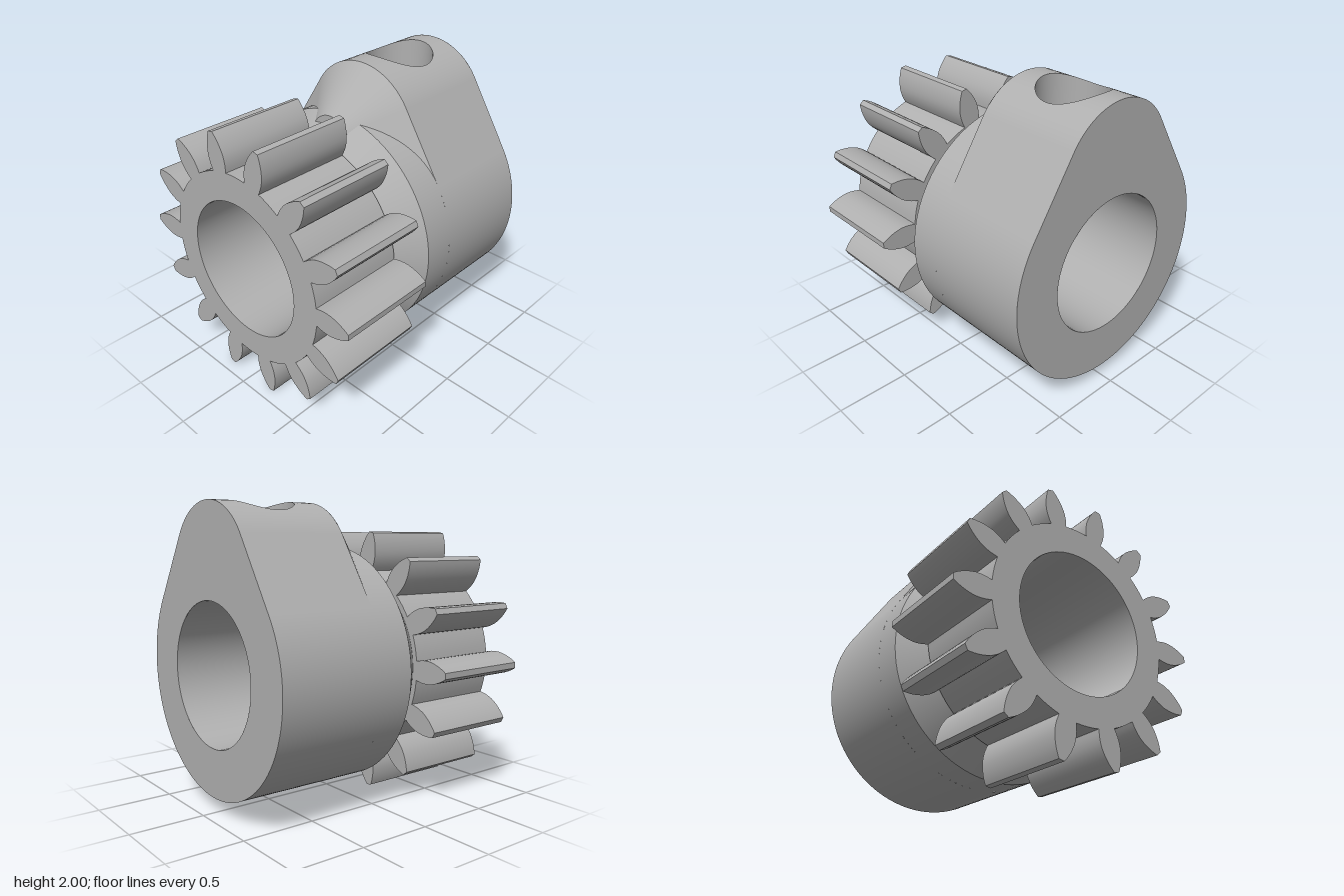
import * as THREE from 'three';
import { toCreasedNormals } from 'three/addons/utils/BufferGeometryUtils.js';
import { ParametricGeometry } from 'three/addons/geometries/ParametricGeometry.js';

const CY = 0.905, R = 0.805, BORE = 0.475;      // shaft axis, collar and bore radii
const LY = 1.54, LR = 0.46;                     // lobe centre and radius
const ALPHA = Math.asin((R - LR) / (LY - CY));  // where the lobe's flats are tangent
const BACK = -0.92, SHOULDER = -0.17, NOSE = 0.12, HOLE_Z = -0.55, PATCH = 0.35;

export function createModel() {
  const group = new THREE.Group();
  const steel = new THREE.MeshStandardMaterial({ color: 0xb0b0b0, side: THREE.DoubleSide });
  steel.name = 'steel grey';
  const add = (name, geometry) => {
    const mesh = new THREE.Mesh(geometry, steel);
    mesh.name = name;
    group.add(mesh);
  };
  const surface = (name, f, nu, nv) =>
    add(name, new ParametricGeometry((u, v, t) => t.set(...f(u, v)), nu, nv));
  const lerp = THREE.MathUtils.lerp;

  const lobePoint = (a, off = 0) => [(LR - off) * Math.cos(a), LY + (LR - off) * Math.sin(a)];
  const basePoint = (a, off = 0) => [(R - off) * Math.cos(a), CY + (R - off) * Math.sin(a)];

  // Teardrop plate with the bore cut out
  const teardrop = (off) => {
    const s = new THREE.Shape();
    s.absarc(0, LY, LR - off, ALPHA, Math.PI - ALPHA, false);
    s.absarc(0, CY, R - off, Math.PI - ALPHA, Math.PI * 2 + ALPHA, false);
    s.holes.push(new THREE.Path().absarc(0, CY, BORE, 0, Math.PI * 2, true));
    return new THREE.ShapeGeometry(s, 64);
  };
  add('backFace', teardrop(0).rotateY(Math.PI).translate(0, 0, BACK));
  add('lobeNoseFace', teardrop(NOSE - SHOULDER).translate(0, 0, NOSE));

  // Arc wall from angle a0 to a1, tapering by `taper` between z0 and z1
  const arcWall = (name, point, a0, a1, z0, z1, taper, n) =>
    surface(name, (u, v) => [...point(lerp(a0, a1, u), taper * v), lerp(z0, z1, v)], n, 1);

  // Straight body and 45 degree tapered shoulder
  arcWall('bodyWall', basePoint, Math.PI - ALPHA, Math.PI * 2 + ALPHA, BACK, SHOULDER, 0, 96);
  const patchAngle = Math.acos(PATCH / LR);
  arcWall('lobeEdge', lobePoint, ALPHA, patchAngle, BACK, SHOULDER, 0, 6);
  arcWall('lobeEdge', lobePoint, Math.PI - patchAngle, Math.PI - ALPHA, BACK, SHOULDER, 0, 6);
  arcWall('lobeShoulder', lobePoint, ALPHA, Math.PI - ALPHA, SHOULDER, NOSE, NOSE - SHOULDER, 48);
  for (const [a, flip] of [[ALPHA, 0], [Math.PI - ALPHA, 1]]) {
    const flat = (z0, z1, taper) => (u, v) => {
      const p = basePoint(a, taper * v), q = lobePoint(a, taper * v), t = flip ? 1 - u : u;
      return [lerp(p[0], q[0], t), lerp(p[1], q[1], t), lerp(z0, z1, v)];
    };
    surface('bodyFlat', flat(BACK, SHOULDER, 0), 1, 1);
    surface('shoulderFlat', flat(SHOULDER, NOSE, NOSE - SHOULDER), 1, 1);
  }

  // Collar and chamfer behind the gear
  const turned = (name, r0, z0, r1, z1) =>
    add(name, new THREE.LatheGeometry([new THREE.Vector2(r0, z0), new THREE.Vector2(r1, z1)], 96)
      .rotateX(Math.PI / 2).translate(0, CY, 0));
  turned('collar', R, SHOULDER, R, 0.05);
  turned('collarChamfer', R, 0.05, 0.63, 0.235);
  turned('collarBore', BORE, 0.235, BORE, SHOULDER);

  // Rear bore, leaving a window at the top for the screw hole
  const boreAngle = Math.acos(PATCH / BORE);
  surface('rearBore', (u, v) => {
    const a = lerp(Math.PI * 2 + boreAngle, Math.PI - boreAngle, u);
    return [BORE * Math.cos(a), CY + BORE * Math.sin(a), lerp(BACK, SHOULDER, v)];
  }, 96, 1);

  // Curved patches that run from the round screw hole to a rectangular border
  const lobeTop = (x) => LY + Math.sqrt(LR * LR - x * x);
  const boreTop = (x) => CY + Math.sqrt(BORE * BORE - x * x);
  const holePatch = (name, top, radius, dir) => surface(name, (u, v) => {
    const a = u * Math.PI * 2 * dir, c = Math.cos(a), s = Math.sin(a);
    const m = Math.max(Math.abs(c), Math.abs(s));
    const x = lerp(radius * c, PATCH * c / m, v);
    const edge = s < 0 ? HOLE_Z - BACK : SHOULDER - HOLE_Z;
    return [x, top(x), HOLE_Z + lerp(radius * s, edge * s / m, v)];
  }, 64, 10);
  holePatch('lobeTop', lobeTop, 0.23, -1);
  holePatch('boreTop', boreTop, 0.2, 1);

  // Stepped screw hole
  const holeWall = (name, r0, y0, r1, y1) => surface(name, (u, v) => {
    const a = u * Math.PI * 2, r = lerp(r0, r1, v), x = r * Math.cos(a);
    return [x, lerp(y0(x), y1(x), v), HOLE_Z + r * Math.sin(a)];
  }, 64, 1);
  holeWall('screwHole', 0.23, lobeTop, 0.23, () => 1.52);
  holeWall('screwHoleStep', 0.23, () => 1.52, 0.2, () => 1.49);
  holeWall('screwHoleThroat', 0.2, () => 1.49, 0.2, boreTop);

  // Fourteen tooth gear: half tooth profile as [distance out, half width]
  const TEETH = 14;
  const half = new THREE.SplineCurve([[0.668, 0.064], [0.72, 0.075], [0.78, 0.076], [0.84, 0.062],
    [0.89, 0.041], [0.925, 0.02]].map((p) => new THREE.Vector2(...p))).getPoints(10);
  const tooth = [...half.map((p) => [p.x, -p.y]), ...half.slice().reverse().map((p) => [p.x, p.y])];
  const outline = [];
  for (let i = 0; i < TEETH; i++) {
    const a = (i / TEETH) * Math.PI * 2, c = Math.cos(a), s = Math.sin(a);
    for (const [r, w] of tooth) outline.push(new THREE.Vector2(r * c - w * s, r * s + w * c));
    for (const k of [0.35, 0.5, 0.65]) {
      const b = ((i + k) / TEETH) * Math.PI * 2;
      outline.push(new THREE.Vector2(0.671 * Math.cos(b), 0.671 * Math.sin(b)));
    }
  }
  const gear = new THREE.Shape(outline);
  gear.holes.push(new THREE.Path().absarc(0, 0, BORE, 0, Math.PI * 2, true));
  const gearGeometry = new THREE.ExtrudeGeometry(gear, { depth: 0.69, bevelEnabled: false, curveSegments: 96 });
  add('gear', toCreasedNormals(gearGeometry, 0.5).translate(0, CY, 0.23));

  return group;
}
